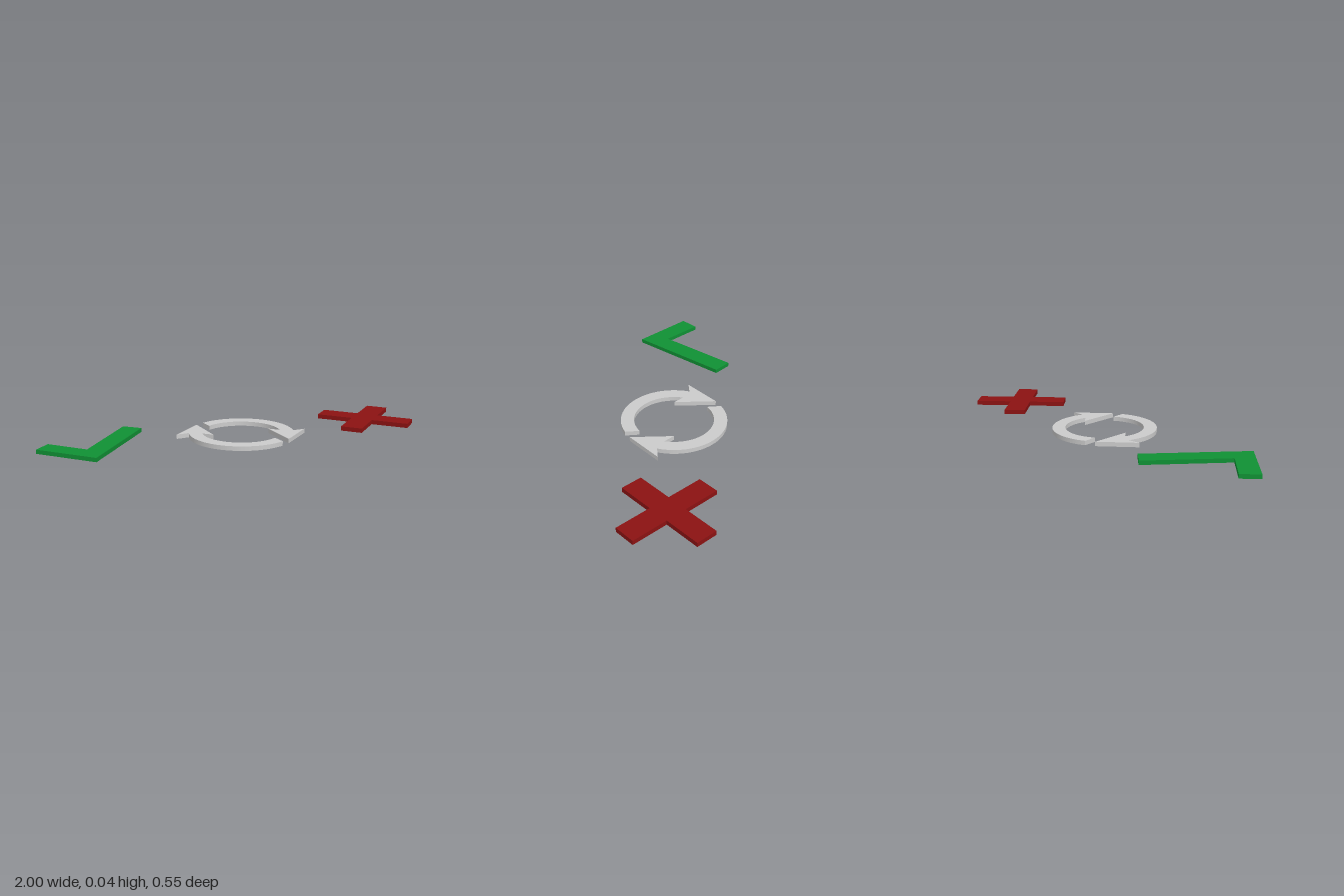
import * as THREE from 'three';

const rad = THREE.MathUtils.degToRad;

// Flat plate: outline drawn in (x, z), extruded between two heights
function plate(name, shape, bottom, top, color) {
  const geometry = new THREE.ExtrudeGeometry(shape, { depth: top - bottom, bevelEnabled: false, curveSegments: 32 });
  geometry.rotateX(Math.PI / 2);
  geometry.translate(0, top, 0);
  const mesh = new THREE.Mesh(geometry, new THREE.MeshStandardMaterial({ color }));
  mesh.name = name;
  return mesh;
}

const outline = (points) => new THREE.Shape(points.map(([x, z]) => new THREE.Vector2(x, z)));

// Curved arrow: ring sector with a slanted tail and a barbed head
function arrowShape() {
  const outer = 0.273, inner = 0.205;
  const shape = new THREE.Shape();
  shape.absarc(0, 0, outer, rad(61.8), rad(195), false);
  shape.lineTo(-0.332, -0.063);
  shape.lineTo(-0.174, -0.213);
  shape.lineTo(-0.155, 0.006);
  shape.lineTo(inner * Math.cos(rad(190.7)), inner * Math.sin(rad(190.7)));
  shape.absarc(0, 0, inner, rad(190.7), rad(55), true);
  shape.closePath();
  return shape;
}

export function createModel() {
  const model = new THREE.Group();
  model.name = 'statusIcons';

  // Check mark
  const check = outline([[-1, -0.005], [-0.93, -0.08], [-0.77, 0.078], [-0.505, -0.278], [-0.425, -0.21], [-0.757, 0.23]]);
  model.add(plate('checkMark', check, 0.013, 0.034, 0x109034));

  // Pair of circling arrows, one turned half a revolution
  const arrows = new THREE.Group();
  arrows.name = 'refreshArrows';
  arrows.position.set(0.054, 0, 0.003);
  for (let i = 0; i < 2; i++) {
    const arrow = plate(i ? 'rightArrow' : 'leftArrow', arrowShape(), 0, 0.023, 0xcccccc);
    arrow.rotation.y = i * Math.PI;
    arrows.add(arrow);
  }
  model.add(arrows);

  // Diagonal cross, built as a plus and turned 45 degrees
  const l = 0.25, w = 0.0566;
  const plus = outline([[l, -w], [l, w], [w, w], [w, l], [-w, l], [-w, w], [-l, w], [-l, -w], [-w, -w], [-w, -l], [w, -l], [w, -w]]);
  const cross = plate('crossMark', plus, 0.013, 0.036, 0x8b1212);
  cross.rotation.y = Math.PI / 4;
  cross.position.set(0.783, 0, -0.003);
  model.add(cross);

  return model;
}
